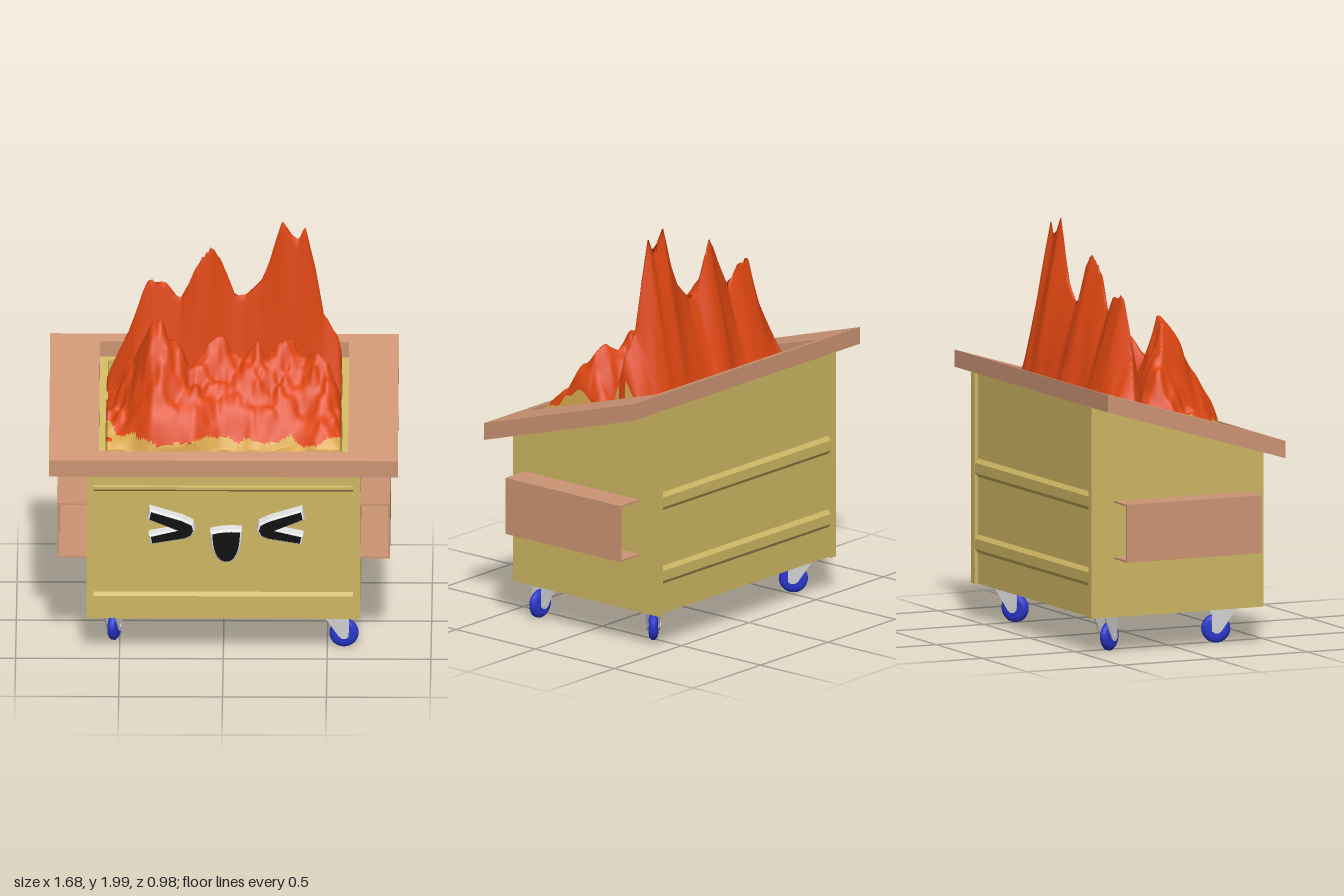
import * as THREE from 'three';

const mat = (name, color, side = THREE.FrontSide) => {
  const m = new THREE.MeshStandardMaterial({ color, side });
  m.name = name;
  return m;
};

// piecewise linear lookup in [x, y, x, y, ...]
function lookup(t, x) {
  for (let i = 2; i < t.length; i += 2) {
    if (x <= t[i]) {
      const k = Math.max(0, (x - t[i - 2]) / (t[i] - t[i - 2]));
      return t[i - 1] + (t[i + 1] - t[i - 1]) * k;
    }
  }
  return t[t.length - 1];
}

// smooth seeded value noise, 0..1
function hash(i, j) {
  const s = Math.sin(i * 127.1 + j * 311.7 + 17.3) * 43758.5453;
  return s - Math.floor(s);
}
function noise(x, y) {
  const i = Math.floor(x), j = Math.floor(y);
  const s = (t) => t * t * (3 - 2 * t);
  const u = s(x - i), v = s(y - j);
  const a = hash(i, j) + (hash(i + 1, j) - hash(i, j)) * u;
  const b = hash(i, j + 1) + (hash(i + 1, j + 1) - hash(i, j + 1)) * u;
  return a + (b - a) * v;
}

const shapeOf = (pts) => new THREE.Shape(pts.map((p) => new THREE.Vector2(p[0], p[1])));

// height of the sloping underside of the rim
const rimY = (z) => 0.925 + (0.46 - z) * 0.298;

const BACK_CREST = [-0.58, 1.12, -0.55, 1.22, -0.45, 1.46, -0.37, 1.7, -0.28, 1.68, -0.21, 1.6, -0.13, 1.78,
  -0.06, 1.87, -0.02, 1.8, 0.05, 1.62, 0.1, 1.61, 0.18, 1.7, 0.22, 1.8, 0.28, 2.0, 0.33, 1.92, 0.36, 1.9,
  0.39, 1.97, 0.44, 1.75, 0.48, 1.52, 0.55, 1.4, 0.58, 1.25];
const FRONT_CREST = [-0.58, 1.12, -0.5, 1.25, -0.42, 1.43, -0.35, 1.56, -0.28, 1.53, -0.2, 1.45, -0.1, 1.42,
  0, 1.44, 0.1, 1.4, 0.2, 1.37, 0.3, 1.42, 0.4, 1.38, 0.5, 1.34, 0.58, 1.2];

const fireBase = (x, z) => 1.04 - z * 0.1 + 0.05 * (noise(x * 14, z * 14) - 0.5);

function fireHeight(x, z) {
  const base = fireBase(x, z);
  const rough = noise(x * 13 + 5, z * 9) - 0.5 + 0.5 * (noise(x * 30, z * 22 + 9) - 0.5);
  // tall thin wall of flame
  const dz = z + 0.185 + 0.05 * (noise(x * 7, 3) - 0.5);
  const tb = Math.min(1, dz > 0 ? dz / 0.085 : -dz / 0.17);
  const back = base + (lookup(BACK_CREST, x) - base) * (1 - tb) ** 0.95 + 0.1 * rough * tb * (1 - tb);
  // broad mound in front of it
  const df = z - 0.01 + 0.09 * (noise(x * 6, 8) - 0.5);
  const tf = Math.min(1, df > 0 ? df / 0.32 : -df / 0.15);
  const front = base + (lookup(FRONT_CREST, x) - base) * (1 - tf) ** 0.8 + 0.17 * rough * (1 - tf);
  return Math.max(base, back, front);
}

// height field: group 0 flames, group 1 smouldering heap below
function fireGeometry() {
  const nx = 120, nz = 120, pos = [], flame = [], heap = [];
  for (let j = 0; j <= nz; j++) {
    for (let i = 0; i <= nx; i++) {
      const x = -0.575 + (1.15 * i) / nx, z = -0.405 + (0.765 * j) / nz;
      const edge = i === 0 || j === 0 || i === nx || j === nz;
      pos.push(x, edge ? 0.92 : fireHeight(x, z), z);
    }
  }
  for (let j = 0; j < nz; j++) {
    for (let i = 0; i < nx; i++) {
      const a = j * (nx + 1) + i, b = a + 1, c = a + nx + 1, d = c + 1;
      const x = pos[a * 3], z = pos[a * 3 + 2];
      const y = (pos[a * 3 + 1] + pos[d * 3 + 1]) / 2;
      const limit = 1.075 - z * 0.1 + 0.07 * (noise(x * 16, z * 16 + 4) - 0.4);
      (y > limit ? flame : heap).push(a, c, b, b, c, d);
    }
  }
  const g = new THREE.BufferGeometry();
  g.setAttribute('position', new THREE.Float32BufferAttribute(pos, 3));
  g.setIndex(flame.concat(heap));
  g.addGroup(0, flame.length, 0);
  g.addGroup(flame.length, heap.length, 1);
  g.computeVertexNormals();
  return g;
}

export function createModel() {
  const model = new THREE.Group();
  const khaki = mat('khaki paint', 0xcdb662), copper = mat('copper brown', 0xcc9474);
  const orange = mat('flame orange', 0xdd4611, THREE.DoubleSide), tan = mat('ember tan', 0xd9a84c, THREE.DoubleSide);
  const blue = mat('wheel blue', 0x2a36cc), grey = mat('bracket grey', 0xcfcfcf);
  const white = mat('outline white', 0xe6e6e6), black = mat('face black', 0x101010);

  const add = (name, geo, material, x = 0, y = 0, z = 0, parent = model) => {
    const m = new THREE.Mesh(geo, material);
    m.name = name;
    m.position.set(x, y, z);
    parent.add(m);
    return m;
  };
  const box = (name, x0, x1, y0, y1, z0, z1, material) => add(name,
    new THREE.BoxGeometry(x1 - x0, y1 - y0, z1 - z0), material, (x0 + x1) / 2, (y0 + y1) / 2, (z0 + z1) / 2);
  // [z, y] profile swept along x
  const sweep = (name, pts, x0, x1, material) => {
    const g = new THREE.ExtrudeGeometry(shapeOf(pts), { depth: x1 - x0, bevelEnabled: false });
    g.rotateY(-Math.PI / 2);
    return add(name, g, material, x1);
  };
  const top = (z) => [z, rimY(z) + 0.005];

  // bin walls and floor
  for (const s of [-1, 1]) {
    const wall = (name, a, b, zf, zb) => sweep(name, [[zf, 0.18], top(zf), top(zb), [zb, 0.18]],
      Math.min(s * a, s * b), Math.max(s * a, s * b), khaki);
    wall('sideWall', 0.625, 0.66, 0.43, -0.49);
    wall('innerSideWall', 0.56, 0.625, 0.37, -0.42);
  }
  sweep('frontPanel', [[0.36, 0.18], [0.428, 0.18], [0.428, 0.295], [0.41, 0.312], [0.41, 0.832], [0.425, 0.845],
    [0.425, 0.858], [0.41, 0.862], [0.41, 0.87], [0.428, 0.875], top(0.428), top(0.36)], -0.625, 0.625, khaki);
  sweep('backPanel', [[-0.41, 0.18], [-0.47, 0.18], [-0.47, 0.33], [-0.487, 0.35], [-0.487, 0.4], [-0.47, 0.42],
    [-0.47, 0.7], [-0.487, 0.72], [-0.487, 0.77], [-0.47, 0.79], top(-0.47), top(-0.41)], -0.625, 0.625, khaki);
  box('floor', -0.63, 0.63, 0.181, 0.21, -0.465, 0.42, khaki);

  // sloping rim frame
  const rimShape = shapeOf([[-0.84, -0.46], [0.84, -0.46], [0.84, 0.49], [-0.84, 0.49]]);
  rimShape.holes.push(new THREE.Path([[-0.6, -0.39], [-0.6, 0.43], [0.6, 0.43], [0.6, -0.39]]
    .map((p) => new THREE.Vector2(...p))));
  const rim = new THREE.ExtrudeGeometry(rimShape, { depth: 0.084, bevelEnabled: false }).rotateX(-Math.PI / 2);
  const p = rim.attributes.position;
  for (let i = 0; i < p.count; i++) p.setY(i, p.getY(i) + rimY(p.getZ(i)));
  rim.computeVertexNormals();
  add('rim', rim, copper);

  // open-ended lifting sleeves
  for (const s of [-1, 1]) {
    const span = (a, b) => [Math.min(s * a, s * b), Math.max(s * a, s * b)];
    box('sleeveTop', ...span(0.655, 0.802), 0.737, 0.746, -0.37, 0.355, copper);
    box('sleeveBottom', ...span(0.655, 0.802), 0.464, 0.473, -0.37, 0.355, copper);
    box('sleeveSide', ...span(0.793, 0.802), 0.473, 0.737, -0.37, 0.355, copper);
  }

  // face: raised pieces with a thin dark front
  const facePiece = (name, shape) => {
    add(name + 'Outline', new THREE.ExtrudeGeometry(shape, { depth: 0.06, bevelThickness: 0.012, bevelSize: 0.01,
      bevelSegments: 3, curveSegments: 10 }), white, 0, 0, 0.407);
    add(name, new THREE.ExtrudeGeometry(shape, { depth: 0.009, bevelEnabled: false, curveSegments: 10 }),
      black, 0, 0, 0.478);
  };
  const eye = [[-0.36, 0.75], [-0.21, 0.703], [-0.165, 0.68], [-0.158, 0.655], [-0.17, 0.632], [-0.2, 0.618],
    [-0.355, 0.592], [-0.36, 0.622], [-0.225, 0.655], [-0.367, 0.715]];
  facePiece('rightEye', shapeOf(eye.map(([x, y]) => [x + 0.012, y])));
  facePiece('leftEye', shapeOf(eye.map(([x, y]) => [0.014 - x, y]).reverse()));
  const mouth = new THREE.Shape();
  mouth.moveTo(-0.053, 0.635);
  mouth.quadraticCurveTo(0.012, 0.652, 0.08, 0.645);
  mouth.bezierCurveTo(0.08, 0.58, 0.065, 0.5, 0.015, 0.498);
  mouth.bezierCurveTo(-0.035, 0.5, -0.05, 0.56, -0.053, 0.635);
  facePiece('mouth', mouth);

  // swivelling casters: [x, z, heading]
  const forkShape = shapeOf([[-0.07, 0.178], [0.06, 0.178], [0.058, 0.06], [0.045, 0.048], [0.025, 0.048], [0.01, 0.06]]);
  const forkGeo = new THREE.ExtrudeGeometry(forkShape, { depth: 0.006, bevelEnabled: false });
  const wheelGeo = new THREE.LatheGeometry([[0, -0.022], [0.045, -0.022], [0.06, -0.018], [0.07, -0.008],
    [0.07, 0.008], [0.06, 0.018], [0.045, 0.022], [0, 0.022]].map((q) => new THREE.Vector2(...q)), 28);
  wheelGeo.rotateX(Math.PI / 2);
  const hubGeo = new THREE.CylinderGeometry(0.014, 0.014, 0.072, 14).rotateX(Math.PI / 2);
  const casters = [[0.545, 0.325, 0], [-0.535, 0.275, 1.27],
    [0.535, -0.35, Math.atan2(-0.58, -0.81)], [-0.55, -0.36, Math.atan2(-0.81, 0.58)]];
  for (const [x, z, heading] of casters) {
    const c = new THREE.Group();
    c.name = 'caster';
    c.position.set(x, 0, z);
    c.rotation.y = heading;
    model.add(c);
    add('casterPlate', new THREE.BoxGeometry(0.13, 0.012, 0.07), grey, -0.005, 0.175, 0, c);
    add('fork', forkGeo, grey, 0, 0, 0.026, c);
    add('fork', forkGeo, grey, 0, 0, -0.032, c);
    add('wheel', wheelGeo, blue, 0.035, 0.07, 0, c);
    add('axle', hubGeo, grey, 0.035, 0.07, 0, c);
  }

  // fire filling the bin
  add('fire', fireGeometry(), [orange, tan]);
  return model;
}
